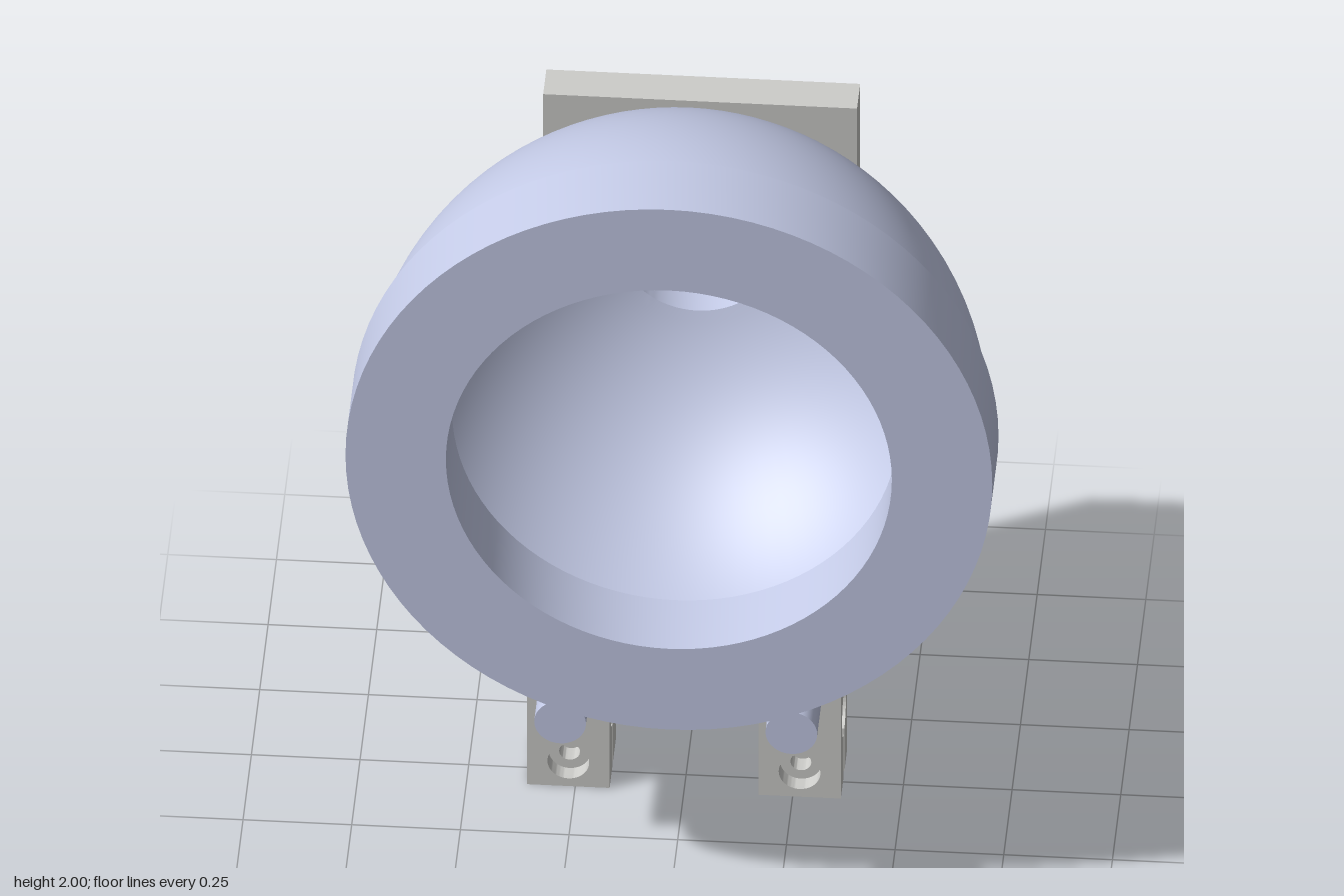
import * as THREE from 'three';
import { toCreasedNormals } from 'three/addons/utils/BufferGeometryUtils.js';

const blue = new THREE.MeshStandardMaterial({ color: 0xcad1ee });
blue.name = 'pale blue';
const grey = new THREE.MeshStandardMaterial({ color: 0xcdcdca });
grey.name = 'light grey';

const AXIS_Y = 1.257; // height of the dome axis
const ROD_X = 0.266, ROD_Y = 0.365;

function addMesh(parent, name, geometry, material) {
  const mesh = new THREE.Mesh(geometry, material);
  mesh.name = name;
  parent.add(mesh);
  return mesh;
}

// Turned part: closed [radius, z] profile spun around the z axis
function turned(profile) {
  const pts = profile.map(([r, z]) => new THREE.Vector2(r, z));
  pts.push(pts[0].clone());
  return toCreasedNormals(new THREE.LatheGeometry(pts, 96).rotateX(Math.PI / 2), 0.5);
}

// Arc of a sphere profile centred at z = cz, between two angles from the equator
function sphereArc(radius, cz, from, to, steps = 32) {
  return Array.from({ length: steps + 1 }, (_, i) => {
    const a = from + (to - from) * i / steps;
    return [radius * Math.cos(a), cz + radius * Math.sin(a)];
  });
}

function extrude(shape, depth) {
  const geo = new THREE.ExtrudeGeometry(shape, { depth, bevelEnabled: false, curveSegments: 32 });
  return toCreasedNormals(geo, 0.5);
}

// Rectangle with round holes given as [x, y, radius]
function drilledRect(x0, y0, x1, y1, holes) {
  const shape = new THREE.Shape();
  shape.moveTo(x0, y0).lineTo(x1, y0).lineTo(x1, y1).lineTo(x0, y1).closePath();
  for (const [x, y, r] of holes) {
    shape.holes.push(new THREE.Path().absarc(x, y, r, 0, Math.PI * 2, true));
  }
  return shape;
}

// Half a clamp block: slotted bore along z, clamping screw hole along x
function clampHalf(name) {
  const half = new THREE.Group();
  half.name = name;
  const w = 0.095, s = 0.011, r = 0.06, cy = 0.0925, split = 0.1525, top = 0.2725;
  const a = Math.acos(s / r);

  // Bore with its slot opening upward and a relief notch below
  const bore = new THREE.Shape();
  bore.moveTo(-w, 0).lineTo(w, 0).lineTo(w, split).lineTo(s, split);
  bore.absarc(0, cy, r, a, -a, true);
  bore.lineTo(s, 0.018).lineTo(-s, 0.018);
  bore.absarc(0, cy, r, a - Math.PI, -a - Math.PI, true);
  bore.lineTo(-s, split).lineTo(-w, split).closePath();
  addMesh(half, 'clampBore', extrude(bore, 2 * w).translate(0, 0, -w), grey);

  // Cheeks either side of the slot; the outer slice is counterbored
  const slices = [[-w, -0.055, 0.048], [-0.055, -s, 0.024], [s, w, 0.024]];
  for (const [x0, x1, hole] of slices) {
    const geo = extrude(drilledRect(-w, split, w, top, [[0, 0.2025, hole]]), x1 - x0);
    addMesh(half, 'clampCheek', geo.rotateY(Math.PI / 2).translate(x0, 0, 0), grey);
  }
  return half;
}

function clamp() {
  const block = new THREE.Group();
  block.name = 'crossClamp';
  const upper = clampHalf('upperClamp');
  const lower = clampHalf('lowerClamp');
  // Lower half is upside down with its bore along x
  lower.quaternion.setFromRotationMatrix(new THREE.Matrix4().makeBasis(
    new THREE.Vector3(0, 0, -1), new THREE.Vector3(0, -1, 0), new THREE.Vector3(-1, 0, 0)));
  block.add(upper, lower);
  return block;
}

export function createModel() {
  const model = new THREE.Group();
  model.name = 'domeOnStand';

  // Hollow dome with a rear neck
  const outerEnd = Math.acos(0.24 / 0.72), innerEnd = Math.acos(0.18 / 0.69);
  const dome = addMesh(model, 'domeShell', turned([
    [0.18, -0.42], [0.24, -0.42],
    ...sphereArc(0.72, 0.328, -outerEnd, 0),
    ...sphereArc(0.69, 0.328, 0, -innerEnd),
  ]), blue);
  dome.position.y = AXIS_Y;

  // Front ring
  const ring = addMesh(model, 'frontRing', turned([
    [0.513, 0.328], [0.744, 0.328], [0.744, 0.515], [0.513, 0.515],
  ]), blue);
  ring.position.y = AXIS_Y;

  // Back plate with port, four screw holes around it and two rod holes
  const holes = [[0, AXIS_Y, 0.179]];
  for (let i = 0; i < 4; i++) {
    const a = i * Math.PI / 2;
    holes.push([0.21 * Math.cos(a), AXIS_Y + 0.21 * Math.sin(a), 0.02]);
  }
  for (const side of [-1, 1]) holes.push([side * ROD_X, ROD_Y, 0.034]);
  const plate = extrude(drilledRect(-0.361, 0.27, 0.361, 1.615, holes), 0.095);
  addMesh(model, 'backPlate', plate.translate(0, 0, -0.515), grey);

  // Rods and their clamps
  for (const side of [-1, 1]) {
    const rod = new THREE.CylinderGeometry(0.0595, 0.0595, 0.73, 40).rotateX(Math.PI / 2);
    addMesh(model, 'supportRod', rod, blue).position.set(side * ROD_X, ROD_Y, -0.055);
    const block = clamp();
    block.position.set(side * ROD_X, 0.2725, -0.031);
    model.add(block);
  }
  return model;
}
